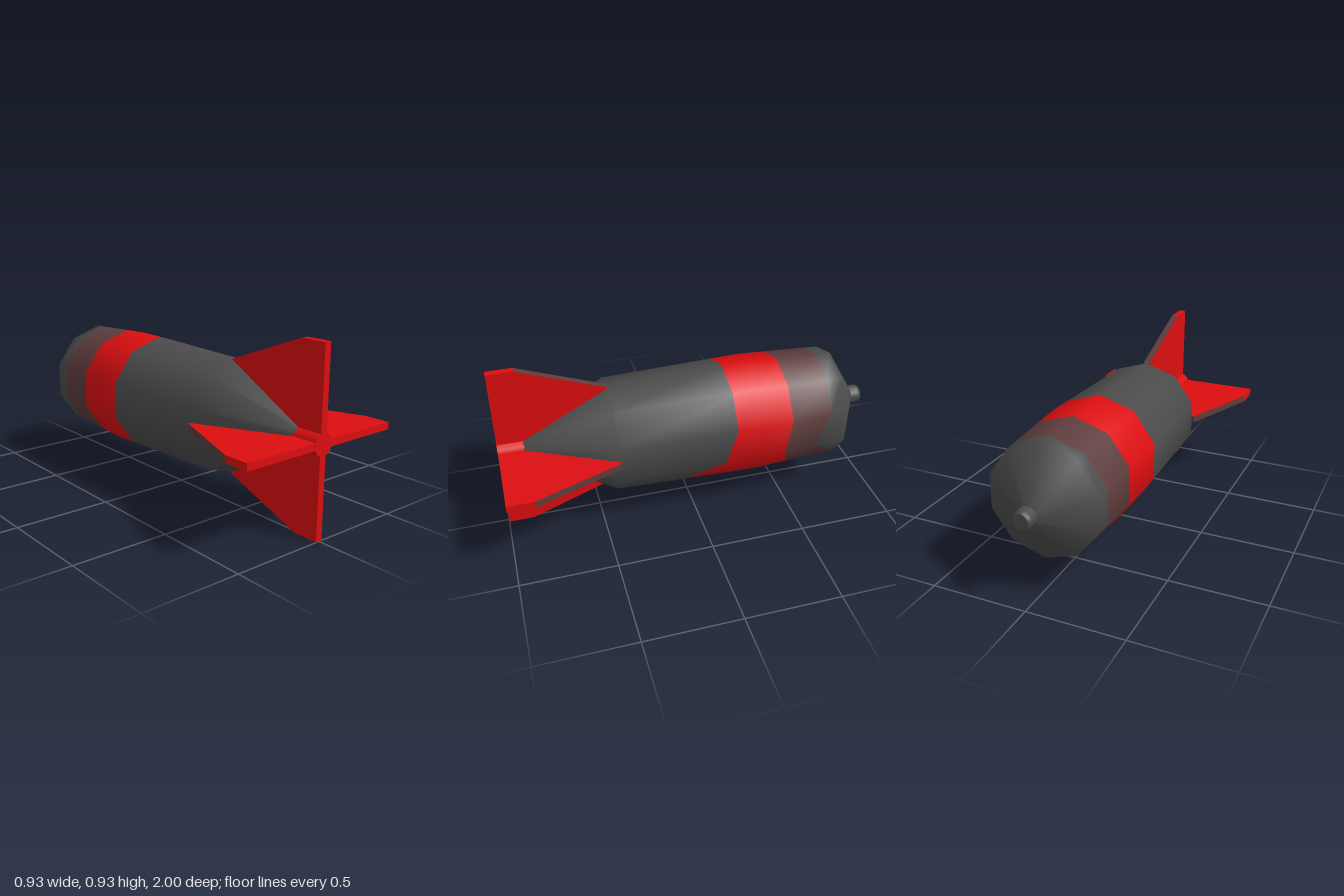
import * as THREE from 'three';

const mat = (name, color) => Object.assign(new THREE.MeshStandardMaterial({ color }), { name });

// Body radius along z (nose at -z, tail at +z)
const PROFILE = [[-0.94, 0.05], [-0.8, 0.292], [-0.34, 0.315], [0.42, 0.295], [0.87, 0.055]];
function radiusAt(z) {
  for (let i = 1; i < PROFILE.length; i++) {
    const [z0, r0] = PROFILE[i - 1], [z1, r1] = PROFILE[i];
    if (z <= z1) return r0 + (r1 - r0) * (z - z0) / (z1 - z0);
  }
  return 0.055;
}

// Smooth ten-sided hull; the edges of the painted bands wander on the lower left side
function bodyGeometry() {
  const SIDES = 10;
  const edge = (base, changes) => Array.from({ length: SIDES }, (_, j) => changes[j] ?? base);
  // corner j sits at 18 + 36 * j degrees: 0 = left upper, 9 = left lower, 8 = low left, 7 = bottom
  const rings = [
    edge(-0.94, {}),
    edge(-0.8, {}),
    edge(-0.715, { 0: -0.705, 9: -0.635, 8: -0.795 }),
    edge(-0.49, { 9: -0.455, 8: -0.52, 7: -0.505 }),
    edge(-0.34, {}),
    edge(-0.19, { 9: -0.13, 8: 0.055 }),
    edge(0.42, {}),
    edge(0.87, {}),
  ];
  const colourOfBand = [0, 0, 1, 2, 2, 0, 0];
  const pos = [], index = [];
  for (const ring of rings) {
    ring.forEach((z, j) => {
      const a = (18 + 36 * j) * Math.PI / 180, r = radiusAt(z);
      pos.push(r * Math.cos(a), r * Math.sin(a), z);
    });
  }
  const geo = new THREE.BufferGeometry();
  colourOfBand.forEach((m, i) => {
    geo.addGroup(index.length, SIDES * 6, m);
    for (let j = 0; j < SIDES; j++) {
      const a = i * SIDES + j, b = i * SIDES + (j + 1) % SIDES;
      index.push(a, b, a + SIDES, b, b + SIDES, a + SIDES);
    }
  });
  geo.setAttribute('position', new THREE.Float32BufferAttribute(pos, 3));
  geo.setIndex(index);
  geo.computeVertexNormals();
  return geo;
}

// Fin plate pointing to +x; its sloping leading edge takes the second material
function finGeometry() {
  const t = 0.036;
  const outline = [[0, 0.999], [0.463, 0.999], [0.463, 0.865], [0.295, 0.42], [0.26, 0.42], [0, 0.88]];
  const shape = new THREE.Shape(outline.map(([r, z]) => new THREE.Vector2(r, z)));
  const geo = new THREE.ExtrudeGeometry(shape, { depth: t, bevelEnabled: false });
  geo.translate(0, 0, -t / 2);
  geo.rotateX(Math.PI / 2);
  geo.clearGroups();
  const n = geo.attributes.normal;
  for (let i = 0; i < n.count; i += 3) geo.addGroup(i, 3, n.getZ(i) < -0.2 ? 1 : 0);
  return geo;
}

export function createModel() {
  const grey = mat('dark grey', 0x4b4b4b);
  const brown = mat('dull red brown', 0x5e3c3c);
  const red = mat('red', 0xdc0e10);

  const model = new THREE.Group();
  model.name = 'finnedBomb';
  const add = (name, geo, material) => {
    const mesh = new THREE.Mesh(geo, material);
    mesh.name = name;
    mesh.position.y = 0.463;
    model.add(mesh);
    return mesh;
  };

  add('body', bodyGeometry(), [grey, brown, red]);

  // Nose fuse: short barrel with a chamfered tip
  const along = (rTip, rBase, z0, z1) =>
    new THREE.CylinderGeometry(rTip, rBase, z1 - z0, 14).rotateX(-Math.PI / 2).translate(0, 0, (z0 + z1) / 2);
  add('noseFuse', along(0.05, 0.05, -0.985, -0.92), grey);
  add('noseTip', along(0.04, 0.05, -1, -0.985), grey);

  // Tail hub and four fins
  add('tailHub', along(0.056, 0.056, 0.86, 1), red);
  const fin = finGeometry();
  ['leftFin', 'topFin', 'rightFin', 'bottomFin'].forEach((name, k) => {
    add(name, fin, [red, brown]).rotation.z = k * Math.PI / 2;
  });
  return model;
}
